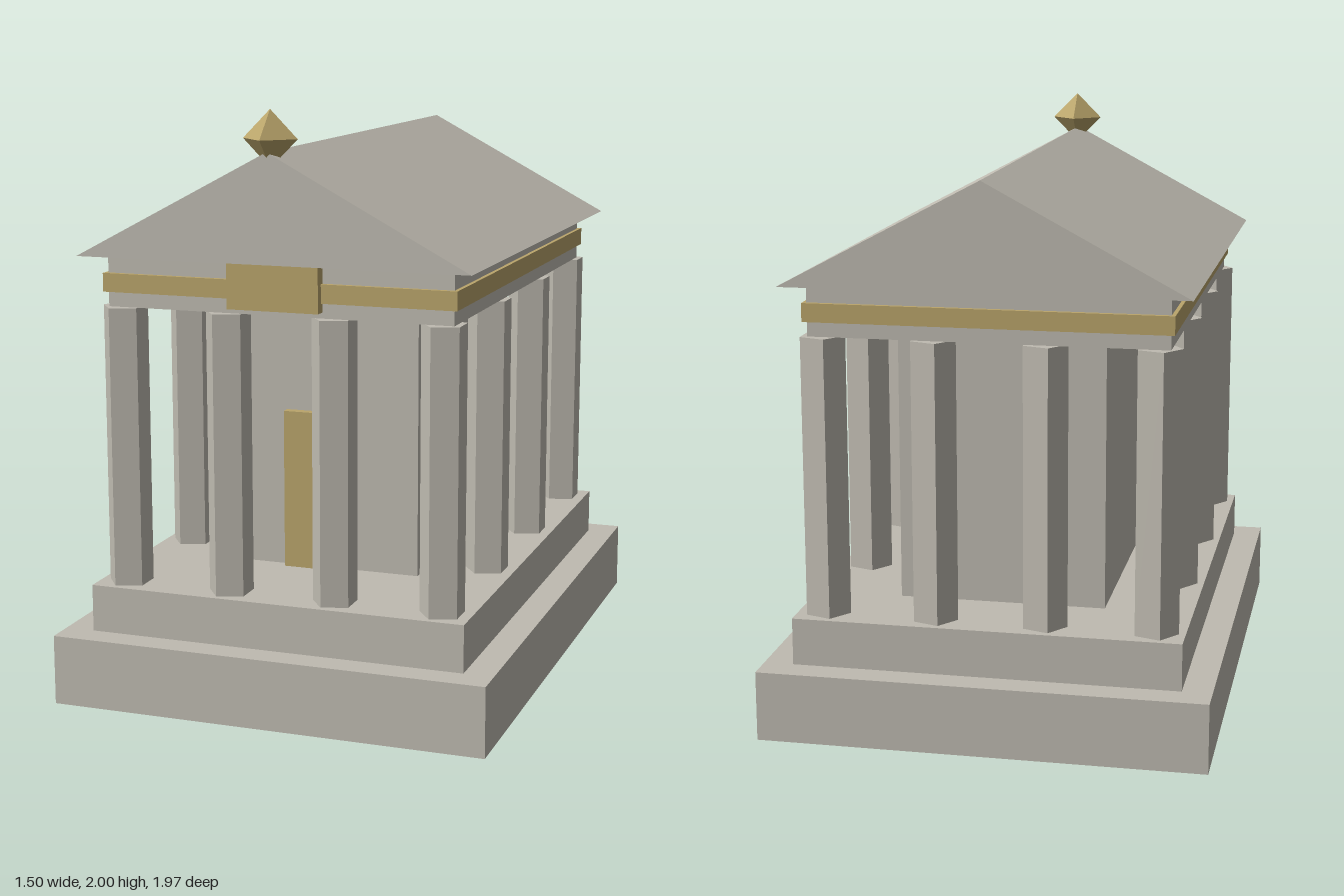
import * as THREE from 'three';

const stone = new THREE.MeshStandardMaterial({ color: 0xbfbbb1 });
stone.name = 'stone';
const gold = new THREE.MeshStandardMaterial({ color: 0xbaa56b });
gold.name = 'gold';

export function createModel() {
  const model = new THREE.Group();
  model.name = 'temple';

  const add = (name, geometry, material, x, y, z) => {
    const mesh = new THREE.Mesh(geometry, material);
    mesh.name = name;
    mesh.position.set(x, y, z);
    model.add(mesh);
    return mesh;
  };
  // Box centred on x, given by its bottom/top and back/front limits
  const box = (name, material, width, y0, y1, z0, z1) =>
    add(name, new THREE.BoxGeometry(width, y1 - y0, z1 - z0), material, 0, (y0 + y1) / 2, (z0 + z1) / 2);

  // Stepped base
  box('lowerStep', stone, 1.5, 0, 0.237, -0.983, 0.983);
  box('upperStep', stone, 1.3, 0.237, 0.397, -0.887, 0.887);

  // Inner chamber and its door
  box('chamber', stone, 0.704, 0.397, 1.34, -0.59, 0.433);
  box('door', gold, 0.24, 0.397, 0.947, 0.42, 0.465);

  // Five-sided columns around the edge, one corner pointing to -x
  const columnGeometry = new THREE.CylinderGeometry(0.077, 0.077, 0.943, 5).rotateY(-Math.PI / 2).toNonIndexed();
  columnGeometry.computeVertexNormals();
  for (let i = 0; i < 4; i++) {
    for (let j = 0; j < 4; j++) {
      const onEdge = i === 0 || i === 3 || j === 0 || j === 3;
      if (onEdge) add('column', columnGeometry, stone, (i - 1.5) * 0.367, 0.8685, (j - 1.5) * 0.529);
    }
  }

  // Beam above the columns, with its band and front plaque
  box('entablature', stone, 1.184, 1.34, 1.513, -0.825, 0.825);
  box('band', gold, 1.21, 1.39, 1.452, -0.841, 0.841);
  box('plaque', gold, 0.312, 1.36, 1.515, 0.825, 0.868);

  // Gabled roof
  const gable = new THREE.Shape([
    new THREE.Vector2(-0.668, 0),
    new THREE.Vector2(0.668, 0),
    new THREE.Vector2(0, 0.355),
  ]);
  const roof = new THREE.ExtrudeGeometry(gable, { depth: 1.806, bevelEnabled: false });
  add('roof', roof, stone, 0, 1.513, -0.903);

  // Ornament on the front of the ridge
  add('finial', new THREE.OctahedronGeometry(0.092), gold, 0, 1.908, 0.868);

  return model;
}
